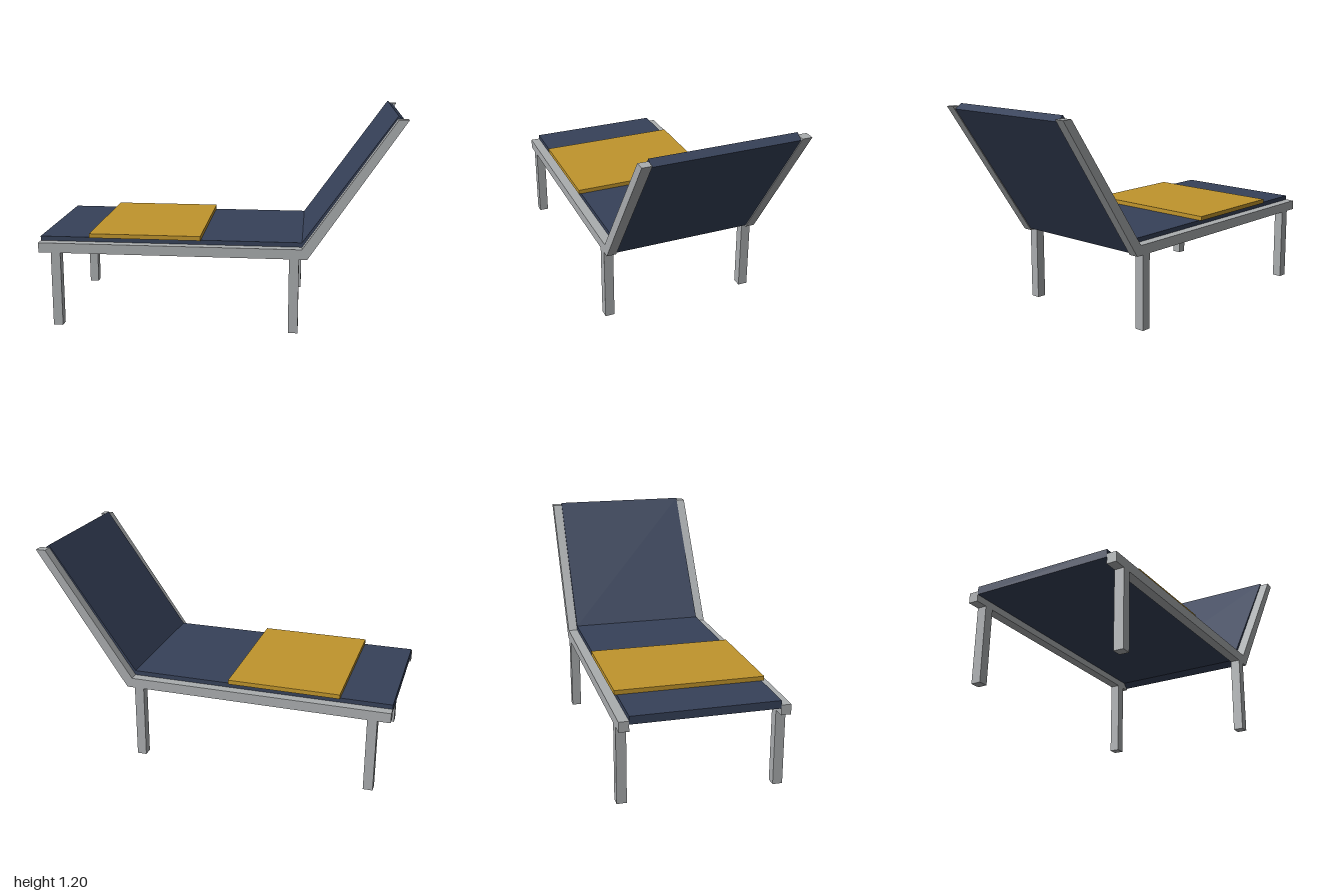
import * as THREE from 'three';

const mat = (name, color) => {
  const m = new THREE.MeshStandardMaterial({ color });
  m.name = name;
  return m;
};

export function createModel() {
  const model = new THREE.Group();
  model.name = 'sunLounger';
  const metal = mat('greyMetal', 0xaaadaf);
  const navy = mat('navyFabric', 0x364159);
  const ochre = mat('ochreFabric', 0xc0952c);

  // Extrudes a side profile (x, y) between two z values
  const slab = (name, points, z0, z1, material) => {
    const shape = new THREE.Shape(points.map(([x, y]) => new THREE.Vector2(x, y)));
    const geo = new THREE.ExtrudeGeometry(shape, { depth: z1 - z0, bevelEnabled: false });
    geo.translate(0, 0, z0);
    const mesh = new THREE.Mesh(geo, material);
    mesh.name = name;
    model.add(mesh);
  };
  const rect = (x0, x1, y0, y1) => [[x0, y0], [x1, y0], [x1, y1], [x0, y1]];

  // Bent side rails and legs, mirrored
  const inner = 0.39, outer = 0.443;
  const rail = [[-1, 0.42], [0.485, 0.42], [0.995, 1.18], [0.94, 1.18], [0.455, 0.475], [-1, 0.475]];
  for (const [side, z0, z1] of [['left', -outer, -inner], ['right', inner, outer]]) {
    // Facing +z, the +z rail is the near one
    const label = side === 'right' ? 'front' : 'rear';
    slab(label + 'Rail', rail, z0, z1, metal);
    slab(label + 'FootLeg', rect(-0.93, -0.877, 0, 0.42), z0, z1, metal);
    slab(label + 'HeadLeg', rect(0.387, 0.44, 0, 0.42), z0, z1, metal);
  }

  // Seat pad and reclined back pad
  slab('seatPad', rect(-1, 0.46, 0.457, 0.5), -inner, inner, navy);
  slab('backPad', [[0.485, 0.43], [0.981, 1.167], [0.943, 1.195], [0.453, 0.498], [0.453, 0.457]],
    -inner, inner, navy);

  // Folded towel
  slab('towel', rect(-0.72, -0.1, 0.5, 0.524), -0.404, 0.404, ochre);

  return model;
}
